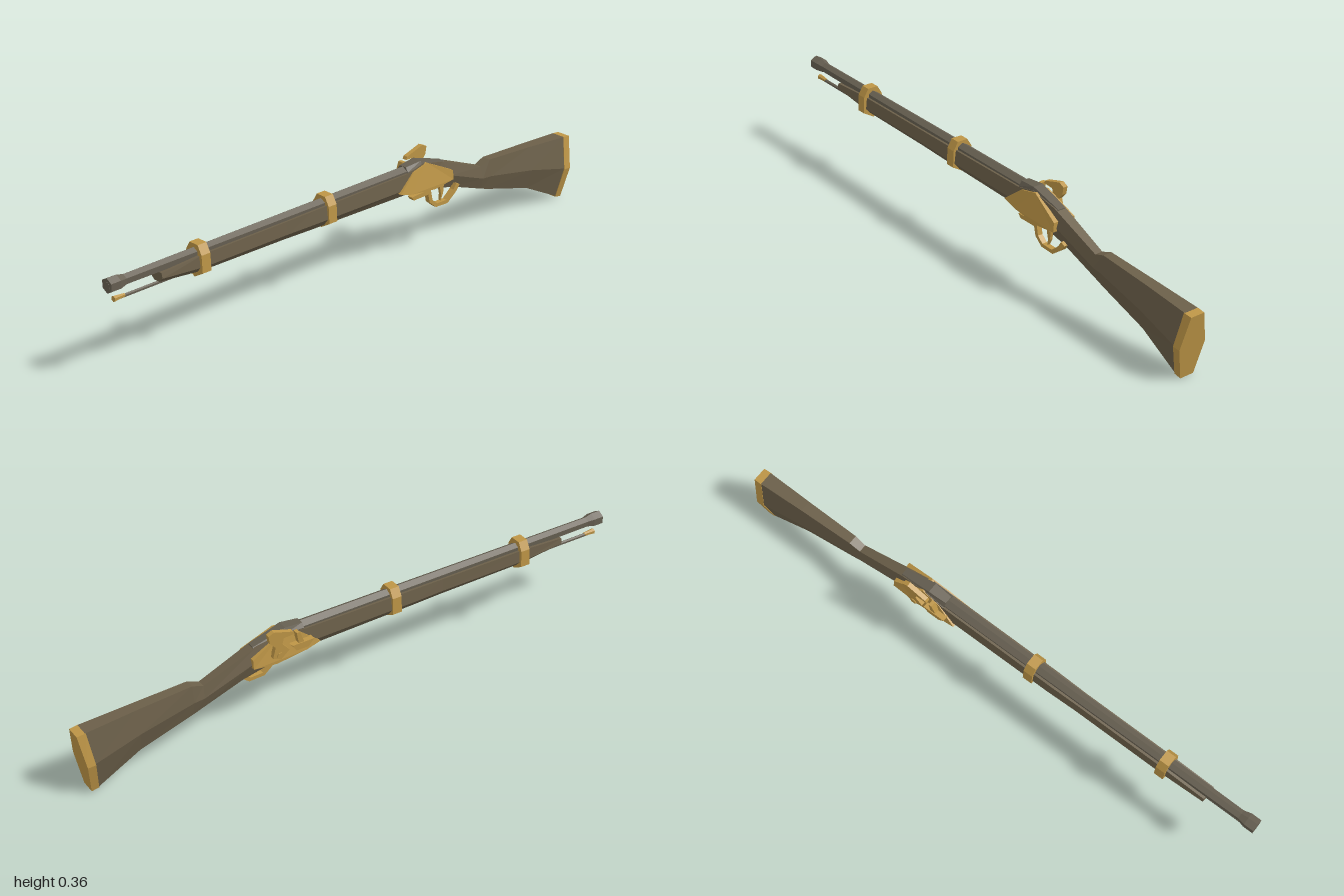
import * as THREE from 'three';

const make = (name, color) => {
  const m = new THREE.MeshStandardMaterial({ color, flatShading: true });
  m.name = name;
  return m;
};

export function createModel() {
  const wood = make('wood', 0x6b5f49);
  const steel = make('steel', 0x665f51);
  const brass = make('brass', 0xbd9546);
  const group = new THREE.Group();

  const add = (name, geo, mat) => {
    const mesh = new THREE.Mesh(geo, mat);
    mesh.name = name;
    group.add(mesh);
    return mesh;
  };

  // Six-sided loft, front to back: [zTop, zBottom, top, mid, bottom, wTop, wMid, wBottom]
  const loft = (name, sections, mat) => {
    const rings = sections.map(([zt, zb, t, m, b, wt, wm, wb]) => {
      const zm = zb + (zt - zb) * (m - b) / (t - b);
      return [[wt, t, zt], [-wt, t, zt], [-wm, m, zm], [-wb, b, zb], [wb, b, zb], [wm, m, zm]];
    });
    const pos = [];
    const tri = (...pts) => pts.forEach((p) => pos.push(...p));
    for (let i = 0; i < rings.length - 1; i++) {
      for (let j = 0; j < 6; j++) {
        const k = (j + 1) % 6, f = rings[i], r = rings[i + 1];
        tri(f[j], r[j], r[k]);
        tri(f[j], r[k], f[k]);
      }
    }
    const first = rings[0], last = rings[rings.length - 1];
    for (let j = 1; j < 5; j++) {
      tri(first[0], first[j], first[j + 1]);
      tri(last[0], last[j + 1], last[j]);
    }
    const geo = new THREE.BufferGeometry();
    geo.setAttribute('position', new THREE.Float32BufferAttribute(pos, 3));
    geo.computeVertexNormals();
    return add(name, geo, mat);
  };

  // Side profile of [z, y] points, extruded between two x values; lean tilts the upper part inward
  const side = (name, pts, x0, x1, mat, lean = 0) => {
    const shape = new THREE.Shape(pts.map(([z, y]) => new THREE.Vector2(-z, y)));
    const geo = new THREE.ExtrudeGeometry(shape, { depth: x1 - x0, bevelEnabled: false });
    geo.rotateY(Math.PI / 2).translate(x0, 0, 0);
    const p = geo.attributes.position;
    for (let i = 0; i < p.count; i++) {
      p.setX(i, p.getX(i) - Math.sign(x0) * lean * Math.max(0, p.getY(i) - 0.26));
    }
    geo.computeVertexNormals();
    return add(name, geo, mat);
  };

  // Hexagonal rod along z from [z, radius] steps
  const rod = (name, steps, y, mat, x = 0) => {
    const profile = [[0, steps[0][0]], ...steps.map(([z, r]) => [r, z]), [0, steps[steps.length - 1][0]]];
    const geo = new THREE.LatheGeometry(profile.map(([r, z]) => new THREE.Vector2(r, z)), 6);
    geo.rotateX(Math.PI / 2).translate(x, y, 0);
    return add(name, geo, mat);
  };

  // Stock: fore-end, lock area, wrist and butt
  loft('stock', [
    [0.82, 0.82, 0.295, 0.278, 0.262, 0.025, 0.029, 0.012],
    [0.66, 0.66, 0.304, 0.264, 0.246, 0.025, 0.03, 0.014],
    [0.33, 0.33, 0.306, 0.264, 0.243, 0.025, 0.03, 0.014],
    [0.22, 0.22, 0.308, 0.264, 0.24, 0.027, 0.033, 0.014],
    [-0.2, -0.2, 0.312, 0.262, 0.234, 0.027, 0.034, 0.016],
    [-0.27, -0.29, 0.326, 0.265, 0.226, 0.024, 0.034, 0.018],
    [-0.37, -0.42, 0.303, 0.25, 0.197, 0.018, 0.031, 0.016],
    [-0.56, -0.565, 0.228, 0.186, 0.145, 0.014, 0.024, 0.013],
    [-0.6, -0.6, 0.243, 0.185, 0.134, 0.016, 0.026, 0.014],
    [-0.8, -0.79, 0.234, 0.153, 0.082, 0.02, 0.037, 0.019],
    [-0.972, -0.942, 0.224, 0.115, 0.007, 0.025, 0.047, 0.024],
  ], wood);

  loft('buttPlate', [
    [-0.97, -0.942, 0.224, 0.112, 0.004, 0.026, 0.049, 0.025],
    [-1, -0.968, 0.221, 0.112, 0, 0.025, 0.05, 0.025],
  ], brass);

  // Barrel with flared muzzle, and the tang behind it
  rod('barrel', [[-0.28, 0.024], [0.15, 0.022], [0.94, 0.018], [0.965, 0.025], [1, 0.025]], 0.306, steel);
  rod('muzzleBore', [[0.99, 0.013], [1.0005, 0.013]], 0.306, steel);
  loft('tang', [
    [-0.2, -0.2, 0.33, 0.315, 0.3, 0.014, 0.024, 0.024],
    [-0.265, -0.265, 0.336, 0.32, 0.3, 0.018, 0.025, 0.025],
    [-0.38, -0.38, 0.302, 0.295, 0.285, 0.012, 0.018, 0.018],
  ], steel);

  // Ramrod under the barrel
  rod('ramrod', [[0.5, 0.006], [0.955, 0.006]], 0.255, steel);
  rod('ramrodTip', [[0.94, 0.006], [0.98, 0.01]], 0.257, brass);

  // Barrel bands
  const bandShape = new THREE.Shape([
    [-0.019, 0.337], [-0.036, 0.308], [-0.039, 0.25], [0, 0.227],
    [0.039, 0.25], [0.036, 0.308], [0.019, 0.337],
  ].map(([x, y]) => new THREE.Vector2(x, y)));
  [['rearBand', 0.145], ['frontBand', 0.66]].forEach(([name, z]) => {
    const geo = new THREE.ExtrudeGeometry(bandShape, { depth: 0.034, bevelEnabled: false });
    add(name, geo.translate(0, 0, z - 0.017), brass);
  });

  // Plates on both sides of the lock
  const plate = [[-0.15, 0.257], [-0.22, 0.312], [-0.285, 0.326], [-0.395, 0.272],
    [-0.395, 0.24], [-0.31, 0.23], [-0.2, 0.243]];
  side('sidePlate', plate, 0.026, 0.044, brass, 0.25);
  side('lockPlate', plate, -0.042, -0.026, brass, 0.25);

  // Hammer, pan and frizzen
  side('hammer', [[-0.3, 0.25], [-0.27, 0.275], [-0.295, 0.305], [-0.29, 0.325], [-0.25, 0.327],
    [-0.255, 0.337], [-0.325, 0.359], [-0.345, 0.35], [-0.34, 0.322], [-0.32, 0.3], [-0.33, 0.262]],
  -0.051, -0.035, brass);
  side('pan', [[-0.18, 0.285], [-0.26, 0.285], [-0.245, 0.262], [-0.2, 0.262]], -0.053, -0.03, brass);
  side('frizzen', [[-0.215, 0.283], [-0.23, 0.325], [-0.242, 0.325], [-0.235, 0.283]], -0.05, -0.03, brass);
  const screw = new THREE.CylinderGeometry(0.012, 0.012, 0.012, 6);
  add('hammerScrew', screw.rotateZ(Math.PI / 2).translate(-0.048, 0.265, -0.305), brass);

  // Trigger plate, trigger and guard
  side('triggerPlate', [[-0.21, 0.226], [-0.3, 0.232], [-0.3, 0.214], [-0.22, 0.213]], 0.014, 0.034, brass);
  side('trigger', [[-0.345, 0.225], [-0.365, 0.225], [-0.362, 0.195], [-0.35, 0.172], [-0.352, 0.195]],
    0.019, 0.029, brass);
  side('triggerGuard', [[-0.285, 0.225], [-0.295, 0.182], [-0.325, 0.157], [-0.38, 0.155], [-0.42, 0.185],
    [-0.437, 0.207], [-0.42, 0.215], [-0.408, 0.195], [-0.375, 0.168], [-0.33, 0.169],
    [-0.308, 0.188], [-0.3, 0.225]], 0.015, 0.033, brass);

  return group;
}
